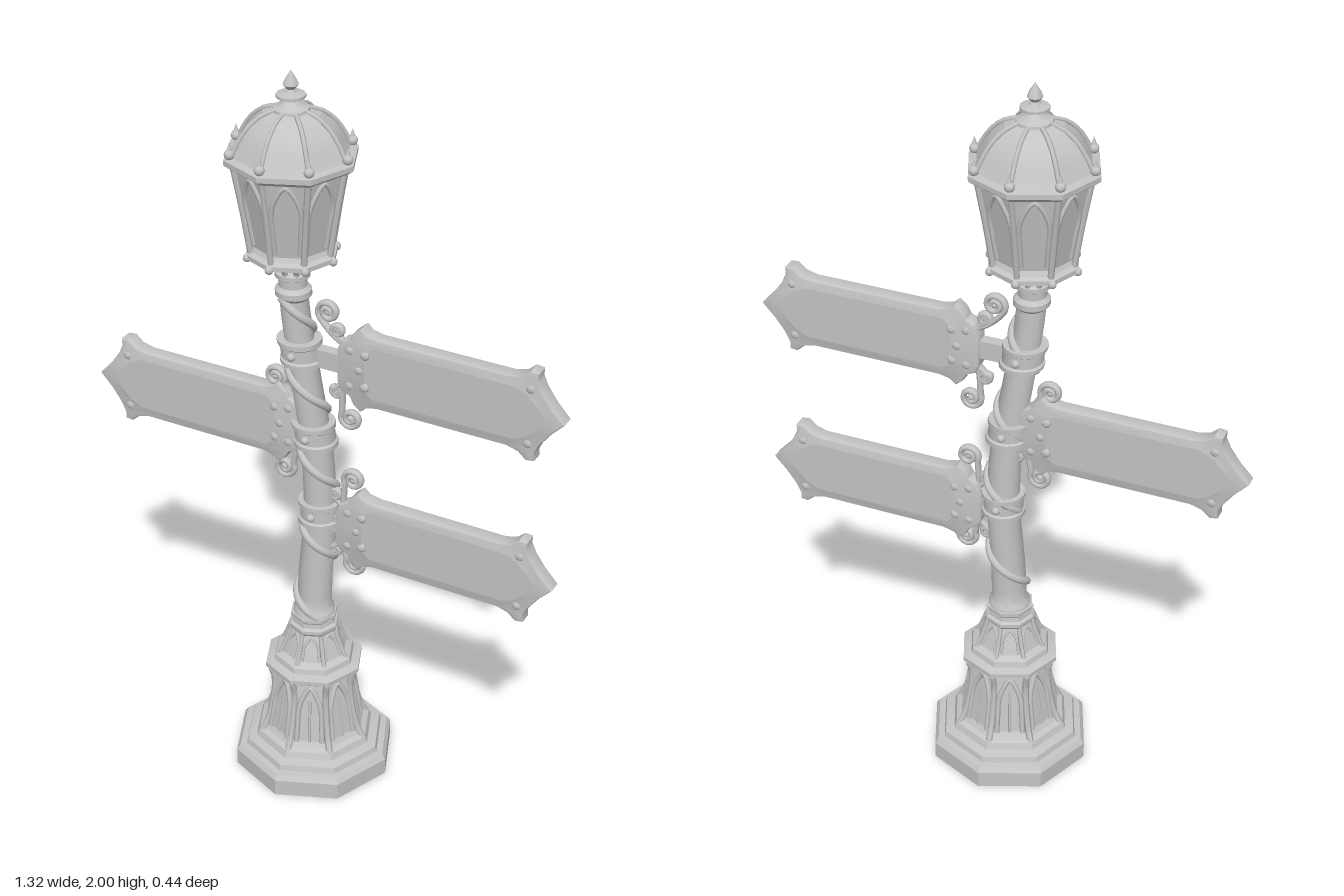
import * as THREE from 'three';
import { toCreasedNormals } from 'three/addons/utils/BufferGeometryUtils.js';

const V = (x, y, z = 0) => new THREE.Vector3(x, y, z);
const BASE_X = -0.027, LAMP_X = -0.085, SIDE = Math.PI / 4;

// Sideways sway of the pole with height
const sway = new THREE.SplineCurve([-0.027, -0.022, -0.008, -0.018, -0.05, -0.08, -0.087]
  .map((x, i) => new THREE.Vector2(x, 0.4 + i * 0.2)));
const poleX = y => sway.getPoint(THREE.MathUtils.clamp((y - 0.4) / 1.2, 0, 1)).x;

export function createModel() {
  const model = new THREE.Group();
  const stone = new THREE.MeshStandardMaterial({ color: 0xc4c4c4 });

  const add = (parent, name, geo) => {
    const m = new THREE.Mesh(geo, stone);
    m.name = name;
    parent.add(m);
    return m;
  };
  const group = (name, x, y = 0) => {
    const g = new THREE.Group();
    g.name = name;
    g.position.set(x, y, 0);
    model.add(g);
    return g;
  };
  const lathe = (pts, sides, crease = 0.6) => toCreasedNormals(
    new THREE.LatheGeometry(pts.map(p => new THREE.Vector2(...p)), sides), crease);
  const bent = geo => {
    const p = geo.attributes.position;
    for (let i = 0; i < p.count; i++) p.setX(i, p.getX(i) + poleX(p.getY(i)));
    geo.computeBoundingSphere();
    return geo;
  };
  const tube = (pts, r, seg = 16, sides = 6) =>
    new THREE.TubeGeometry(new THREE.CatmullRomCurve3(pts), seg, r, sides);
  const polar = (a, r, y) => V(Math.sin(a) * r, y, Math.cos(a) * r);

  // Ribs on the eight corners, following a profile of [radius, height]
  const cornerRibs = (parent, name, profile, r) => {
    for (let k = 0; k < 8; k++)
      add(parent, name, tube(profile.map(([d, y]) => polar(k * SIDE, d, y)), r, 8));
  };
  // Pointed arch mouldings on the eight tapering faces
  const arches = (parent, name, [r0, y0], [r1, y1], path, thick) => {
    for (let k = 0; k < 8; k++) {
      const pts = path.map(([u, t]) => {
        const r = THREE.MathUtils.lerp(r0, r1, t);
        return V(u * r * Math.sin(SIDE / 2), THREE.MathUtils.lerp(y0, y1, t), r * Math.cos(SIDE / 2));
      });
      add(parent, name, tube(pts, thick, 28)).rotation.y = (k + 0.5) * SIDE;
    }
  };
  const archPath = [[-0.68, 0.05], [-0.68, 0.35], [-0.66, 0.62], [-0.4, 0.82], [0, 0.96],
    [0.4, 0.82], [0.66, 0.62], [0.68, 0.35], [0.68, 0.05]];

  // Hollow octagonal base and tapering pedestal
  const base = group('base', BASE_X);
  add(base, 'pedestal', lathe([[0, 0.3], [0.09, 0.29], [0.12, 0.1], [0.165, 0.05], [0.195, 0],
    [0.222, 0], [0.222, 0.048], [0.212, 0.062], [0.194, 0.064], [0.19, 0.08], [0.165, 0.086],
    [0.158, 0.104], [0.143, 0.11], [0.133, 0.125], [0.104, 0.295], [0.118, 0.305], [0.135, 0.318],
    [0.135, 0.33], [0.112, 0.337], [0.108, 0.352], [0.09, 0.362], [0.062, 0.432], [0.068, 0.44],
    [0.068, 0.45], [0.06, 0.455], [0.058, 0.468], [0.064, 0.474], [0.064, 0.484], [0, 0.486]], 8, 0.3));
  arches(base, 'pedestalArch', [0.136, 0.115], [0.105, 0.295], archPath, 0.007);
  arches(base, 'pedestalMullion', [0.136, 0.115], [0.105, 0.295], [[0, 0.05], [0, 0.5], [0, 0.75]], 0.004);
  arches(base, 'upperArch', [0.09, 0.36], [0.064, 0.43], archPath, 0.004);
  cornerRibs(base, 'pedestalRib', [[0.15, 0.1], [0.13, 0.14], [0.11, 0.27], [0.12, 0.31]], 0.009);
  cornerRibs(base, 'upperRib', [[0.098, 0.35], [0.082, 0.385], [0.064, 0.435]], 0.006);

  // Swaying pole with a winding vine
  const pole = group('pole', 0);
  const poleR = y => THREE.MathUtils.lerp(0.047, 0.036, (y - 0.48) / 0.95);
  const shaft = [[0.056, 0.47], [0.056, 0.49], [0.05, 0.5]];
  for (let i = 0; i <= 30; i++) shaft.push([poleR(0.51 + i * 0.03), 0.51 + i * 0.03]);
  shaft.push([0.046, 1.42], [0.046, 1.435], [0.036, 1.445], [0.036, 1.465], [0.044, 1.47],
    [0.044, 1.482], [0.028, 1.49], [0.028, 1.54]);
  add(pole, 'shaft', bent(lathe(shaft, 20)));
  const vine = [];
  for (let i = 0; i <= 90; i++) {
    const y = 0.48 + i / 90 * 0.94, a = 0.8 - i / 90 * Math.PI * 2 * 4.2;
    vine.push(polar(a, poleR(y) + 0.001, y).add(V(poleX(y), 0)));
  }
  add(pole, 'vine', tube(vine, 0.011, 180, 8));

  // Clasps that hold the signs
  for (const y of [0.81, 1.04, 1.27]) {
    const r = 0.052;
    add(pole, 'clasp', bent(lathe([[0.03, y - 0.032], [r + 0.005, y - 0.032], [r + 0.005, y - 0.02],
      [r, y - 0.016], [r, y + 0.016], [r + 0.005, y + 0.02], [r + 0.005, y + 0.032], [0.03, y + 0.032]], 20)));
    for (const s of [-1, 1])
      add(pole, 'claspStud', new THREE.SphereGeometry(0.011, 10, 8)).position.set(poleX(y), y, s * r);
  }

  // Lantern: body, window tracery, roof and finial
  const lamp = group('lantern', LAMP_X);
  add(lamp, 'lanternBody', lathe([[0, 1.522], [0.1, 1.522], [0.117, 1.53], [0.117, 1.542],
    [0.104, 1.548], [0.098, 1.56], [0.135, 1.765], [0.15, 1.772], [0, 1.773]], 8, 0.3));
  cornerRibs(lamp, 'lanternPost', [[0.104, 1.545], [0.122, 1.66], [0.143, 1.775]], 0.008);
  arches(lamp, 'windowArch', [0.099, 1.56], [0.136, 1.765],
    archPath.map(([u, t]) => [u * 1.15, t]), 0.006);
  cornerRibs(lamp, 'supportScroll', [[0.03, 1.47], [0.042, 1.5], [0.062, 1.512], [0.09, 1.526]], 0.008);
  add(lamp, 'roof', lathe([[0, 1.768], [0.15, 1.768], [0.166, 1.78], [0.166, 1.793], [0.146, 1.797],
    [0.138, 1.81], [0.126, 1.835], [0.105, 1.865], [0.075, 1.89], [0.045, 1.902], [0, 1.904]], 8, 0.3));
  cornerRibs(lamp, 'roofRib', [[0.146, 1.8], [0.128, 1.836], [0.106, 1.867], [0.075, 1.892], [0.04, 1.904]], 0.006);
  for (let k = 0; k < 8; k++) {
    add(lamp, 'roofKnob', new THREE.SphereGeometry(0.013, 10, 8)).position.copy(polar(k * SIDE, 0.151, 1.806));
    add(lamp, 'roofSpur', new THREE.ConeGeometry(0.007, 0.022, 8)).position.copy(polar(k * SIDE, 0.151, 1.826));
    add(lamp, 'rimBead', new THREE.SphereGeometry(0.011, 8, 6)).position.copy(polar(k * SIDE, 0.113, 1.532));
  }
  add(lamp, 'finial', lathe([[0.046, 1.895], [0.044, 1.908], [0.026, 1.914], [0.014, 1.924],
    [0.014, 1.929], [0.036, 1.934], [0.036, 1.941], [0.014, 1.946], [0.01, 1.953], [0.019, 1.964],
    [0.015, 1.975], [0, 2]], 12));

  // Arrow signs: moulded frame, sunken panel, studs and iron scrolls
  const half = [[0, 0.045], [0.012, 0.07], [0.035, 0.08], [0.045, 0.1], [0.065, 0.117], [0.08, 0.103],
    [0.11, 0.096], [0.46, 0.096], [0.49, 0.104], [0.512, 0.123], [0.533, 0.12], [0.532, 0.1],
    [0.545, 0.072], [0.572, 0.035]];
  const outer = [...half, [0.605, 0], ...half.map(([x, y]) => [x, -y]).reverse()];
  const innerHalf = [[0.07, 0.055], [0.095, 0.078], [0.48, 0.078], [0.515, 0.06]];
  const inner = [...innerHalf, [0.57, 0], ...innerHalf.map(([x, y]) => [x, -y]).reverse()];
  const v2 = pts => pts.map(p => new THREE.Vector2(...p));
  const slab = (shape, depth, bevel) => toCreasedNormals(new THREE.ExtrudeGeometry(shape, {
    depth: depth - 2 * bevel, bevelEnabled: bevel > 0, bevelThickness: bevel, bevelSize: bevel,
    bevelOffset: -bevel, bevelSegments: 2,
  }).translate(0, 0, bevel - depth / 2), 0.6);

  const scroll = (parent, cx, cy, size) => {
    const s = Math.sign(cy), pts = [V(0.015, s * 0.05), V((cx + 0.01) / 2 - 0.012, s * 0.075)];
    for (let i = 0; i <= 22; i++) {
      const t = i / 22, a = Math.PI * 1.15 - t * Math.PI * 3.2, r = size * (1 - 0.75 * t);
      pts.push(V(cx + Math.cos(a) * r, cy + s * Math.sin(a) * r));
    }
    add(parent, 'scroll', tube(pts, 0.0075, 60, 8)).scale.z = 1.5;
    add(parent, 'scrollEye', new THREE.SphereGeometry(0.01, 10, 8)).position.set(cx, cy, 0);
  };

  const sign = (name, tipX, y, dir, scrolls) => {
    const g = group(name, tipX - dir * 0.605, y);
    if (dir < 0) g.rotation.y = Math.PI;
    const frame = new THREE.Shape(v2(outer));
    frame.holes.push(new THREE.Path(v2(inner)));
    add(g, 'signFrame', slab(frame, 0.044, 0.006));
    add(g, 'signPanel', slab(new THREE.Shape(v2(outer.map(([x, h]) => [0.3 + (x - 0.3) * 0.97, h * 0.9]))), 0.028, 0));
    add(g, 'signArm', new THREE.BoxGeometry(0.09, 0.05, 0.03)).position.x = -0.015;
    for (const side of [-1, 1]) {
      for (const [x, h] of [[0.035, 0.05], [0.035, -0.05], [0.075, 0.045], [0.075, -0.045],
        [0.06, 0], [0.515, 0.075], [0.515, -0.075]]) {
        const stud = add(g, 'signStud', new THREE.SphereGeometry(0.013, 10, 8));
        stud.position.set(x, h, side * 0.018);
        stud.scale.z = 0.6;
      }
    }
    for (const [x, h] of scrolls) scroll(g, x, h, 0.029);
    for (const s of [-1, 1]) scroll(g, -0.008, s * 0.085, 0.016);
  };
  sign('upperSign', 0.655, 1.263, 1, [[-0.035, 0.13], [0.03, -0.155]]);
  sign('middleSign', -0.66, 1.048, -1, [[0.08, 0.125], [0.055, -0.137]]);
  sign('lowerSign', 0.652, 0.785, 1, [[0.042, 0.142], [0.05, -0.115]]);

  return model;
}
